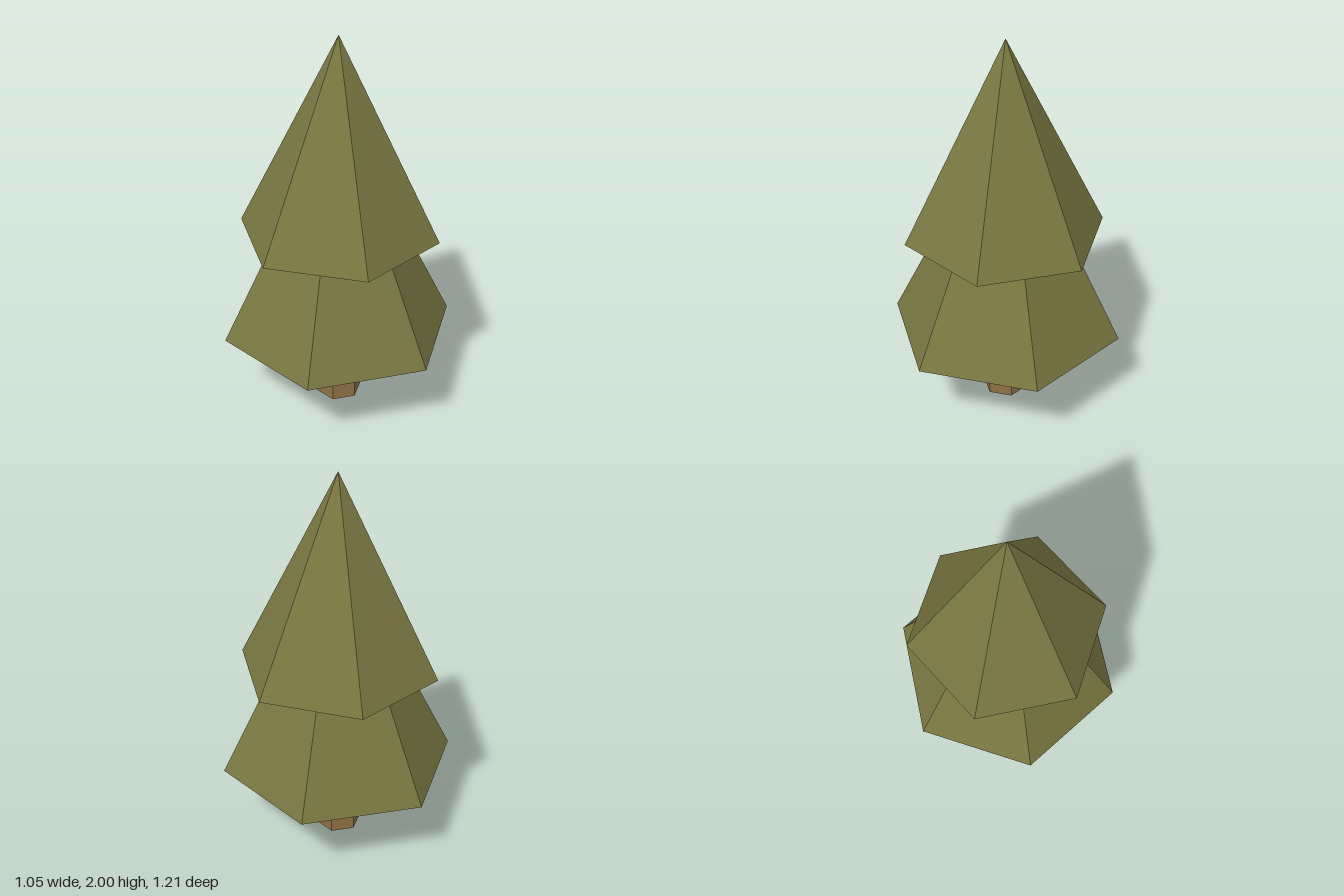
import * as THREE from 'three';

const SIDES = 6;

export function createModel() {
  const model = new THREE.Group();
  model.name = 'pineTree';

  const foliage = new THREE.MeshStandardMaterial({ color: 0x7a7742, flatShading: true });
  foliage.name = 'olive foliage';
  const bark = new THREE.MeshStandardMaterial({ color: 0x8e7147, flatShading: true });
  bark.name = 'brown bark';

  // Adds a six-sided cone or prism standing between two heights
  function addPart(name, material, topRadius, bottomRadius, bottom, top, turn = 0) {
    const geometry = new THREE.CylinderGeometry(topRadius, bottomRadius, top - bottom, SIDES);
    geometry.rotateY(turn);
    const mesh = new THREE.Mesh(geometry, material);
    mesh.name = name;
    mesh.position.y = (bottom + top) / 2;
    model.add(mesh);
  }

  // Trunk, reaching a little way into the lower tier
  addPart('trunk', bark, 0.12, 0.12, 0, 0.5);
  // Lower tier, with corners to the front and back
  addPart('lowerFoliage', foliage, 0, 0.605, 0.412, 1.64);
  // Upper tier, turned half a side so its corners point left and right
  addPart('upperFoliage', foliage, 0, 0.515, 0.968, 2, Math.PI / SIDES);

  return model;
}
